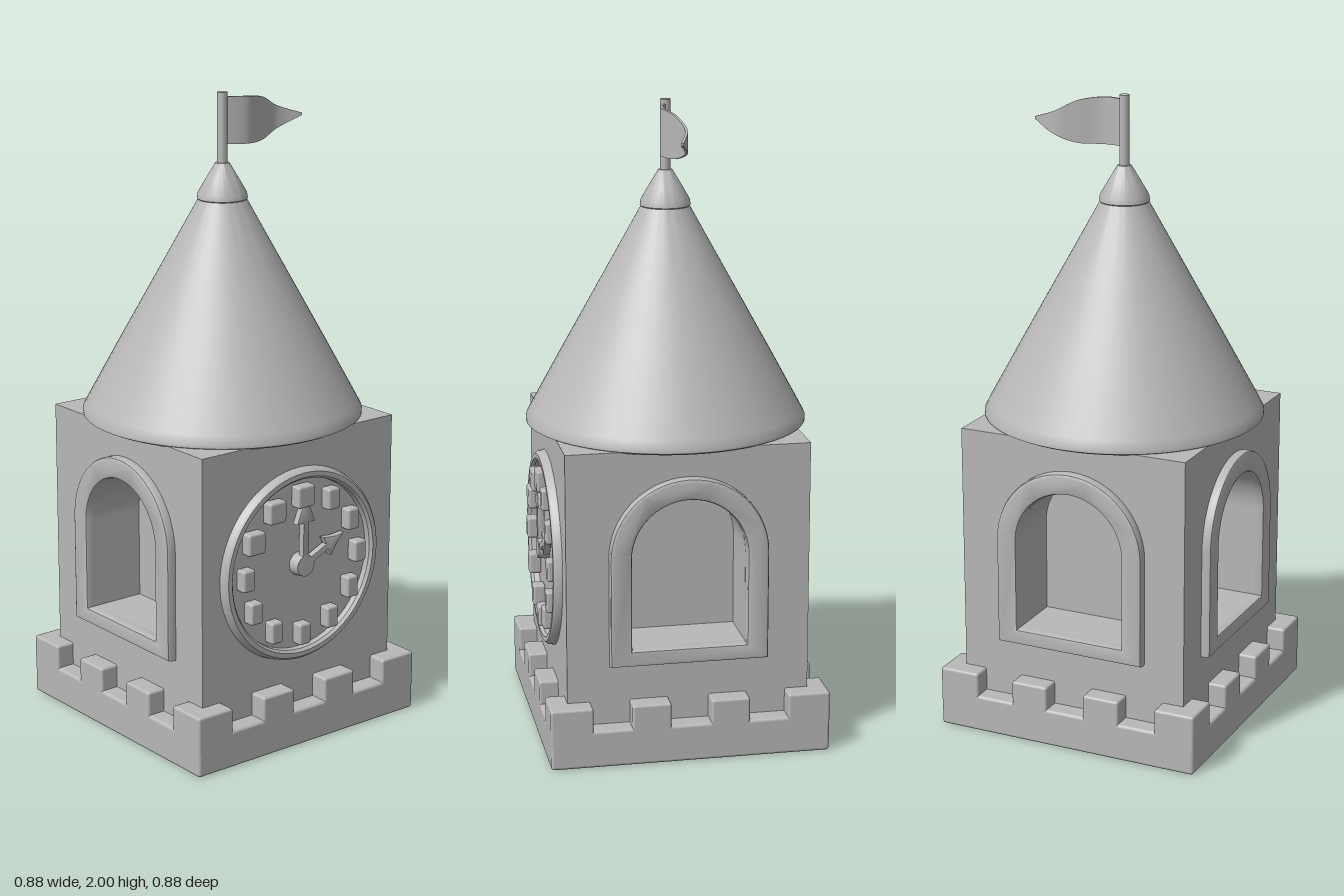
import * as THREE from 'three';
import { toCreasedNormals } from 'three/addons/utils/BufferGeometryUtils.js';
import { RoundedBoxGeometry } from 'three/addons/geometries/RoundedBoxGeometry.js';

const stone = new THREE.MeshStandardMaterial({ color: 0xb8b8b8 });
stone.name = 'grey stone';

const HALF = 0.38;   // half width of the tower
const NICHE = 0.18;  // depth of the window recesses

function add(parent, name, geometry, x = 0, y = 0, z = 0) {
  const mesh = new THREE.Mesh(geometry, stone);
  mesh.name = name;
  mesh.position.set(x, y, z);
  parent.add(mesh);
  return mesh;
}

// Round-headed window outline: half width, sill height; the arch springs at y = 0.655
function arch(path, w, sill) {
  path.moveTo(-w, sill);
  path.lineTo(w, sill);
  path.lineTo(w, 0.655);
  path.absarc(0, 0.655, w, 0, Math.PI, false);
  path.lineTo(-w, sill);
  return path;
}

function extrude(shape, depth, bevel = 0) {
  const g = new THREE.ExtrudeGeometry(shape, {
    depth: depth - bevel, curveSegments: 28, bevelEnabled: bevel > 0,
    bevelSize: bevel, bevelThickness: bevel, bevelOffset: -bevel, bevelSegments: 2,
  });
  return toCreasedNormals(g, 0.6);
}

function lathe(points) {
  const g = new THREE.LatheGeometry(points.map(([r, y]) => new THREE.Vector2(r, y)), 64);
  return toCreasedNormals(g, 0.6);
}

// A wall panel with its arched recess and raised frame, facing +z before turning
function windowWall(name, halfWidth, angle) {
  const side = new THREE.Group();
  side.name = name;
  const panel = new THREE.Shape();
  panel.moveTo(-halfWidth, 0.1);
  panel.lineTo(halfWidth, 0.1);
  panel.lineTo(halfWidth, 0.99);
  panel.lineTo(-halfWidth, 0.99);
  panel.holes.push(arch(new THREE.Path(), 0.18, 0.36));
  add(side, 'wall', extrude(panel, NICHE), 0, 0, HALF - NICHE);

  const frame = arch(new THREE.Shape(), 0.248, 0.31);
  frame.holes.push(arch(new THREE.Path(), 0.18, 0.36));
  add(side, 'windowFrame', extrude(frame, 0.04, 0.01), 0, 0, HALF - 0.01);
  side.rotation.y = angle;
  return side;
}

// Arrow-shaped clock hand pointing up from the hub
function clockHand(length, head) {
  const s = new THREE.Shape();
  const pts = [[-0.012, 0], [0.012, 0], [0.01, length - head], [0.036, length - head],
    [0.014, length - head * 0.5], [0, length], [-0.014, length - head * 0.5],
    [-0.036, length - head], [-0.01, length - head]];
  s.setFromPoints(pts.map(([x, y]) => new THREE.Vector2(x, y)));
  return extrude(s, 0.02, 0.003);
}

function clock() {
  const group = new THREE.Group();
  group.name = 'clock';
  const rim = lathe([[0.275, 0], [0.277, 0.018], [0.285, 0.027], [0.3, 0.027], [0.308, 0.018], [0.312, 0]].reverse());
  rim.rotateX(Math.PI / 2);
  add(group, 'clockRim', rim);

  // Plain raised hour blocks
  for (let i = 0; i < 12; i++) {
    const a = i * Math.PI / 6;
    const width = i === 0 || i > 9 ? 0.066 : 0.046;
    const block = new RoundedBoxGeometry(width, 0.07, 0.04, 2, 0.008);
    add(group, 'hourBlock', block, 0.225 * Math.sin(a), 0.225 * Math.cos(a), 0.018);
  }

  const hub = new THREE.CylinderGeometry(0.034, 0.038, 0.035, 28);
  hub.rotateX(Math.PI / 2);
  add(group, 'clockHub', hub, 0, 0, 0.0175);
  add(group, 'minuteHand', clockHand(0.25, 0.11), 0, 0, 0.015);
  add(group, 'hourHand', clockHand(0.175, 0.075), 0, 0, 0.012).rotation.z = -1.13;

  group.position.set(HALF, 0.58, 0);
  group.rotation.y = Math.PI / 2;
  return group;
}

// Waving pennant that runs from the pole towards -z
function pennant() {
  const curve = (pts) => new THREE.SplineCurve(pts.map(([u, v]) => new THREE.Vector2(u, v)));
  const top = curve([[0, 1.985], [0.08, 1.983], [0.16, 1.97], [0.24, 1.935], [0.31, 1.907]]);
  const bottom = curve([[0, 1.84], [0.08, 1.836], [0.16, 1.838], [0.24, 1.862], [0.31, 1.899]]);
  const wave = curve([[0, 0], [0.08, 0.026], [0.16, 0], [0.23, -0.02], [0.31, 0.008]]);
  const g = new THREE.BoxGeometry(0.008, 1, 1, 1, 4, 30);
  const p = g.attributes.position;
  for (let i = 0; i < p.count; i++) {
    const t = 0.5 - p.getZ(i);
    const hi = top.getPoint(t), lo = bottom.getPoint(t), w = wave.getPoint(t);
    p.setXYZ(i, p.getX(i) + w.y, THREE.MathUtils.lerp(lo.y, hi.y, p.getY(i) + 0.5), -w.x);
  }
  g.computeVertexNormals();
  return g;
}

export function createModel() {
  const model = new THREE.Group();
  model.name = 'clockTower';

  // Base with battlements: corner blocks and two merlons on each side
  add(model, 'base', new RoundedBoxGeometry(0.88, 0.12, 0.88, 2, 0.01), 0, 0.06, 0);
  for (let i = 0; i < 4; i++) {
    const side = new THREE.Group();
    side.name = 'battlement';
    add(side, 'cornerBlock', new RoundedBoxGeometry(0.133, 0.12, 0.133, 2, 0.008), 0.3735, 0.135, 0.3735);
    for (const s of [-1, 1]) {
      add(side, 'merlon', new RoundedBoxGeometry(0.122, 0.12, 0.08, 2, 0.008), s * 0.124, 0.135, 0.4);
    }
    side.rotation.y = i * Math.PI / 2;
    model.add(side);
  }

  // Tower: solid core, three window walls and the clock side
  const inner = HALF - NICHE;
  add(model, 'towerCore', new THREE.BoxGeometry(HALF + inner, 0.89, inner * 2), (HALF - inner) / 2, 0.545, 0);
  model.add(windowWall('frontWall', HALF, 0));
  model.add(windowWall('backWall', HALF, Math.PI));
  model.add(windowWall('rightWall', inner, -Math.PI / 2));
  model.add(clock());

  // Conical roof, cap, pole and flag
  add(model, 'roof', lathe([[0, 0.985], [0.425, 0.985], [0.442, 0.993], [0.442, 1.003], [0.428, 1.03],
    [0.33, 1.21], [0.2, 1.445], [0.07, 1.68], [0, 1.69]]));
  add(model, 'roofCap', lathe([[0, 1.66], [0.07, 1.662], [0.079, 1.672], [0.076, 1.69], [0.05, 1.735],
    [0.022, 1.782], [0, 1.785]]));
  add(model, 'flagPole', new THREE.CylinderGeometry(0.016, 0.016, 0.24, 20), 0, 1.88, 0);
  add(model, 'flag', pennant());
  return model;
}
